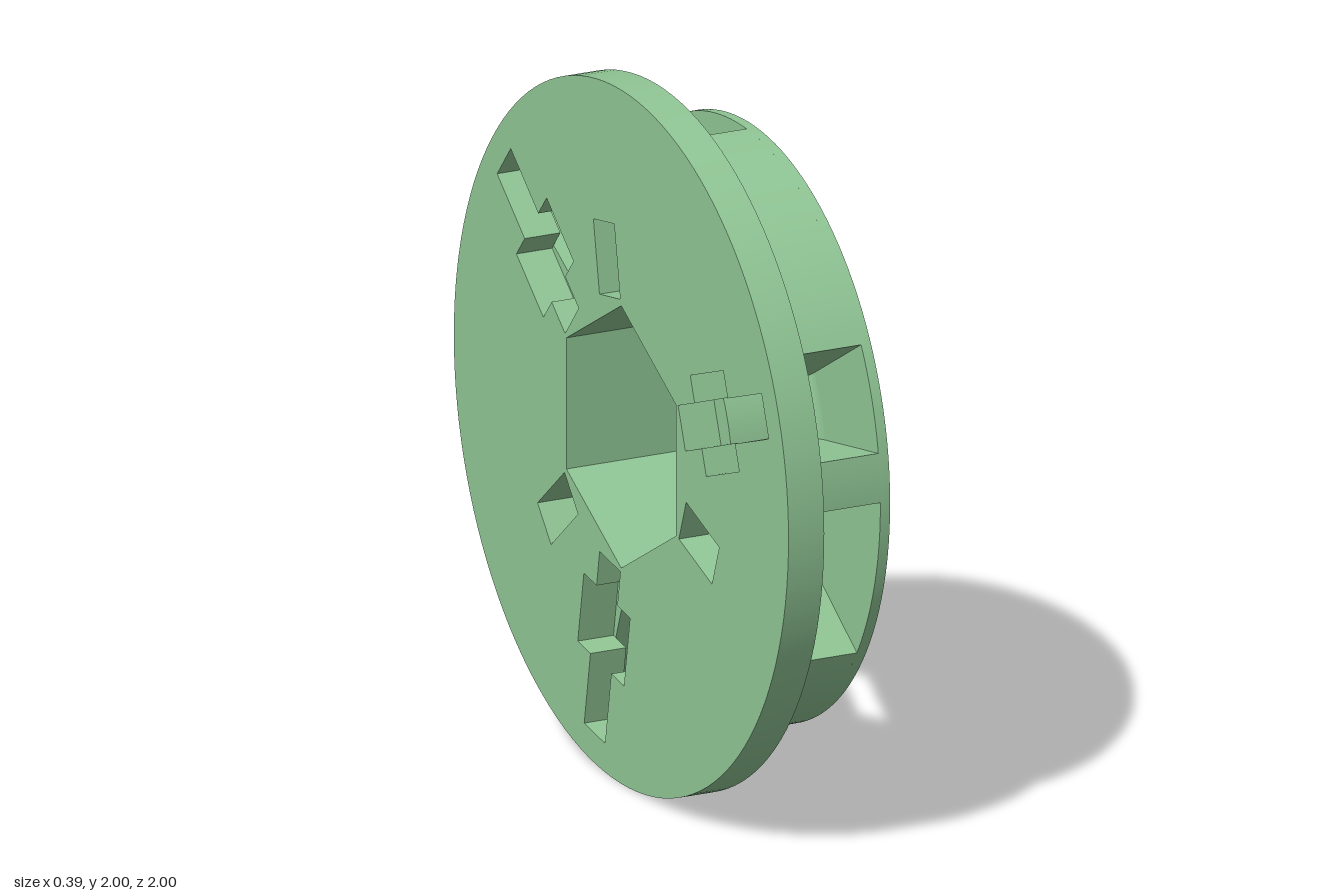
import * as THREE from 'three';
import { toCreasedNormals } from 'three/addons/utils/BufferGeometryUtils.js';

const rad = THREE.MathUtils.degToRad;
const polar = (r, deg) => new THREE.Vector2(r * Math.cos(rad(deg)), r * Math.sin(rad(deg)));

// Positions along the axle
const BACK = -0.195, FLANGE = -0.085, CAP = 0.165, END = 0.195;
const DRUM_R = 0.85, FILLET = 0.075;

// Pockets cut into the drum, repeated every 120 degrees: [start, end, floor radius]
const pockets = [[149.8, 170.2, 0.45], [179.6, 213.4, 0.485]];

function circle(r) {
  return new THREE.Shape().absarc(0, 0, r, 0, Math.PI * 2, false);
}

// Hexagonal axle bore, one corner pointing up
function hexHole() {
  const pts = [];
  for (let i = 0; i < 6; i++) pts.push(polar(0.378, 30 + i * 60));
  return new THREE.Path(pts);
}

// Symmetric slot along a radius, from [radius, half width] steps
function slot(deg, steps) {
  const pts = [
    ...steps.map(([r, w]) => new THREE.Vector2(r, w)),
    ...steps.slice().reverse().map(([r, w]) => new THREE.Vector2(r, -w)),
  ];
  return new THREE.Path(pts.map((p) => p.rotateAround(new THREE.Vector2(), rad(deg))));
}

function extrude(shape, from, to, curveSegments) {
  const geo = new THREE.ExtrudeGeometry(shape, { depth: to - from, bevelEnabled: false, curveSegments });
  geo.translate(0, 0, from);
  return toCreasedNormals(geo, rad(25));
}

export function createModel() {
  const group = new THREE.Group();
  group.name = 'hexBoreWheel';
  const material = new THREE.MeshStandardMaterial({ color: 0x90c695 });
  const filletMaterial = material.clone();
  filletMaterial.side = THREE.DoubleSide;

  const add = (name, geo, mat = material) => {
    const mesh = new THREE.Mesh(geo, mat);
    mesh.name = name;
    group.add(mesh);
  };

  // Wide flange with cross-shaped and straight slots
  const flange = circle(1);
  flange.holes.push(hexHole());
  for (let k = 0; k < 3; k++) {
    flange.holes.push(slot(160 + k * 120, [
      [0.385, 0.063], [0.49, 0.063], [0.49, 0.14], [0.70, 0.14], [0.70, 0.063], [0.915, 0.063],
    ]));
    flange.holes.push(slot(200 + k * 120, [[0.39, 0.063], [0.60, 0.063]]));
  }
  add('flange', extrude(flange, BACK, FLANGE, 64));

  // Drum body with two sector pockets per third
  const drum = new THREE.Shape();
  const [a, b] = pockets;
  for (let k = 0; k < 3; k++) {
    const arc = (r, from, to) => drum.absarc(0, 0, r, rad(from + k * 120), rad(to + k * 120), false);
    arc(a[2], a[0], a[1]);
    arc(DRUM_R, a[1], b[0]);
    arc(b[2], b[0], b[1]);
    arc(DRUM_R, b[1], a[0] + 120);
  }
  drum.closePath();
  drum.holes.push(hexHole());
  add('drum', extrude(drum, FLANGE, CAP, 12));

  // End cap closing the pockets
  const cap = circle(DRUM_R);
  cap.holes.push(hexHole());
  add('endCap', extrude(cap, CAP, END, 64));

  // Concave fillets between pocket floors and end cap
  for (const [start, end, floor] of pockets) {
    const profile = [];
    for (let i = 0; i <= 8; i++) {
      const t = (i / 8) * Math.PI / 2;
      profile.push(new THREE.Vector2(
        floor + FILLET * (1 - Math.cos(t)), CAP - FILLET * (1 - Math.sin(t))));
    }
    for (let k = 0; k < 3; k++) {
      const geo = new THREE.LatheGeometry(profile, 24, rad(start + 90 + k * 120), rad(end - start));
      geo.rotateX(Math.PI / 2);
      add('pocketFillet', geo, filletMaterial);
    }
  }

  // Stand upright with the axle along x
  group.rotation.y = Math.PI / 2;
  group.position.y = 1;
  const model = new THREE.Group();
  model.name = 'wheel';
  model.add(group);
  return model;
}
